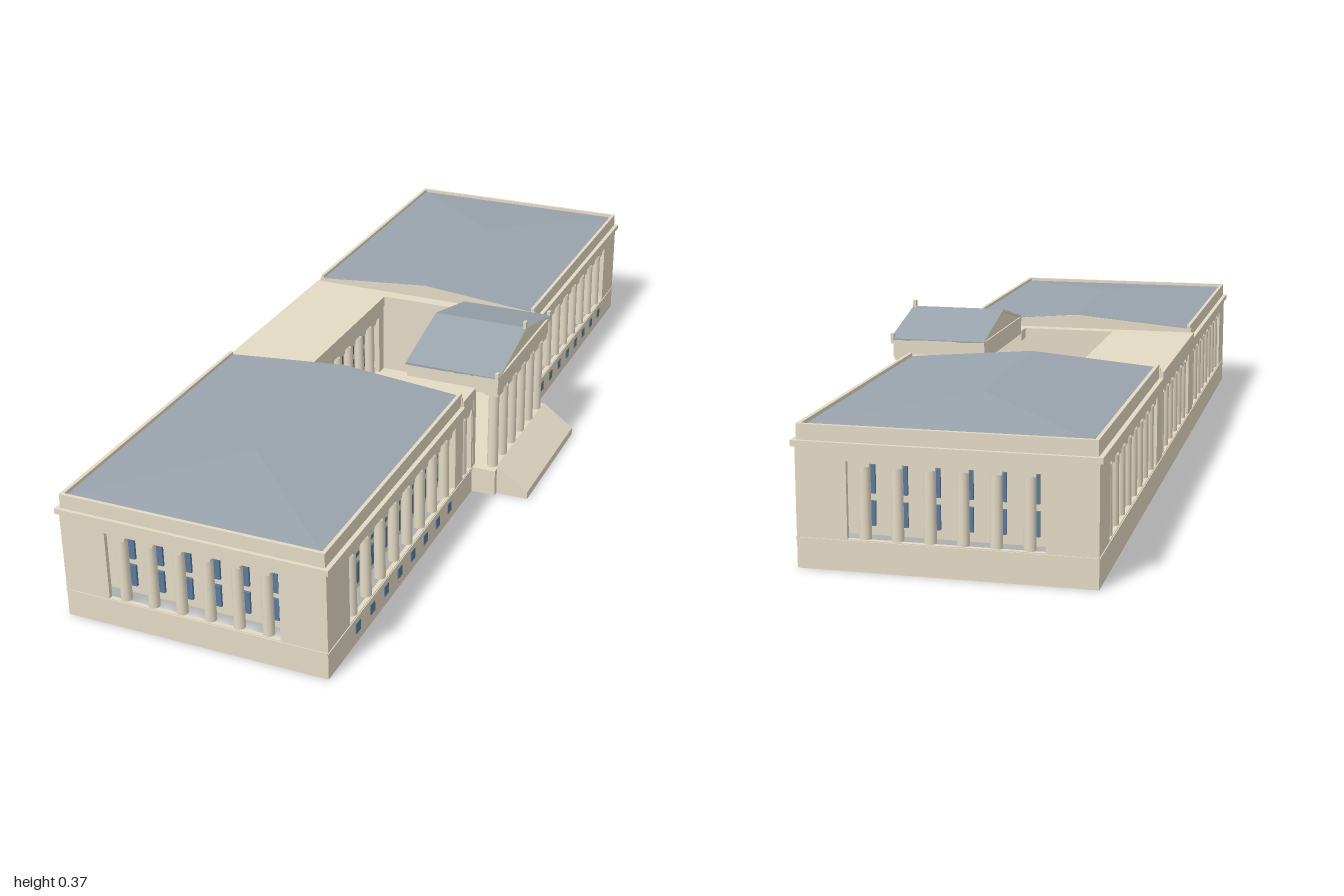
import * as THREE from 'three';

const paint = (name, color, side = THREE.FrontSide) => {
  const m = new THREE.MeshStandardMaterial({ color, side });
  m.name = name;
  return m;
};

export function createModel() {
  const stone = paint('stone', 0xe4dac5);
  const slate = paint('slate', 0x9aa4ad, THREE.DoubleSide);
  const glass = paint('glass', 0x5b7b9c);
  const root = new THREE.Group();
  root.name = 'building';

  const add = (parent, name, geo, mat = stone, x = 0, y = 0, z = 0) => {
    const m = new THREE.Mesh(geo, mat);
    m.name = name;
    m.position.set(x, y, z);
    parent.add(m);
    return m;
  };
  // box given by its limits on each axis
  const box = (parent, name, x0, x1, y0, y1, z0, z1, mat = stone) =>
    add(parent, name, new THREE.BoxGeometry(x1 - x0, y1 - y0, z1 - z0), mat,
      (x0 + x1) / 2, (y0 + y1) / 2, (z0 + z1) / 2);
  const extrude = (shape, depth) =>
    new THREE.ExtrudeGeometry(shape, { depth, bevelEnabled: false });
  const polygon = (pts) => new THREE.Shape(pts.map(([x, y]) => new THREE.Vector2(x, y)));
  const group = (parent, name, x, z, turn) => {
    const g = new THREE.Group();
    g.name = name;
    g.position.set(x, 0, z);
    g.rotation.y = turn;
    parent.add(g);
    return g;
  };

  // slightly tapering round column
  const columnGeo = (y0, y1, r) =>
    new THREE.CylinderGeometry(r * 0.94, r, y1 - y0, 16).translate(0, (y0 + y1) / 2, 0);
  const loggiaColumn = columnGeo(0.065, 0.213, 0.0125);

  // wall facing local +z with a notched opening, columns and windows behind
  const SILL = 0.065, HEAD = 0.222, TOP = 0.246, DEEP = 0.04;
  function facade(parent, name, width, bays, pitch, x, z, turn, shift = 0, windows = true) {
    const g = group(parent, name, x, z, turn);
    const w = width / 2, o = (bays * pitch) / 2, n = 0.0145, c = 0.004;
    const wall = polygon([[-w, 0], [w, 0], [w, TOP], [-w, TOP]]);
    const hole = [[shift - o, SILL], [shift + o, SILL], [shift + o, HEAD]];
    for (let i = bays - 1; i >= 0; i--) {
      const u = shift + (i - (bays - 1) / 2) * pitch;
      hole.push([u + n + c, HEAD], [u + n, HEAD - c], [u + n, 0.212],
        [u - n, 0.212], [u - n, HEAD - c], [u - n - c, HEAD]);
      add(g, 'column', loggiaColumn, stone, u, 0, -0.014);
      if (windows) {
        for (const [name, y0, y1] of [['lowerWindow', 0.085, 0.135], ['upperWindow', 0.15, 0.208]])
          box(g, name, u - 0.0142, u + 0.0142, y0, y1, -DEEP, 0.006 - DEEP, glass);
      }
    }
    hole.push([shift - o, HEAD]);
    wall.holes.push(polygon(hole));
    add(g, 'wall', extrude(wall, 0.01), stone, 0, 0, -0.01);
    box(g, 'stringCourse', -w, w, 0.059, 0.063, -0.004, 0.002);
    return g;
  }

  // hipped wing, built towards +z and turned round for the other end
  function wing(name, turn) {
    const g = group(root, name, -0.065, 0, turn);
    facade(g, 'endFacade', 0.6, 6, 0.0655, 0, 0.994, 0);
    facade(g, 'sideFacade', 0.734, 8, 0.0735, 0.3, 0.627, Math.PI / 2, 0.032);
    facade(g, 'sideFacade', 0.734, 8, 0.0735, -0.3, 0.627, -Math.PI / 2, -0.032);
    // inner rooms and ceiling
    for (const s of [-1, 1])
      box(g, 'innerWall', s * 0.257 - 0.003, s * 0.257 + 0.003, SILL, 0.25, 0.262, 0.954);
    box(g, 'innerWall', -0.26, 0.26, SILL, 0.25, 0.948, 0.954);
    box(g, 'ceiling', -0.298, 0.298, 0.246, 0.256, 0.262, 0.992);
    // cornice and parapet
    box(g, 'cornice', -0.307, 0.307, 0.246, 0.258, 0.26, 1.0);
    for (const s of [-1, 1])
      box(g, 'parapet', s * 0.293 - 0.004, s * 0.293 + 0.004, 0.258, 0.29, 0.257, 0.992);
    box(g, 'parapet', -0.297, 0.297, 0.258, 0.29, 0.984, 0.992);
    // gable wall towards the centre
    add(g, 'gableWall', extrude(polygon([[-0.3, 0], [0.3, 0], [0.3, 0.281], [0, 0.306], [-0.3, 0.281]]), 0.006),
      stone, 0, 0, 0.257);
    // hipped roof
    const A = [-0.29, 0.282, 0.255], B = [0.29, 0.282, 0.255], C = [0.29, 0.282, 0.985];
    const D = [-0.29, 0.282, 0.985], E = [0, 0.307, 0.255], F = [0, 0.307, 0.7];
    const roof = new THREE.BufferGeometry();
    roof.setAttribute('position', new THREE.Float32BufferAttribute(
      [B, E, F, B, F, C, A, F, E, A, D, F, D, C, F].flat(), 3));
    roof.computeVertexNormals();
    add(g, 'wingRoof', roof, slate);
  }
  wing('leftWing', 0);
  wing('rightWing', Math.PI);

  // basement windows on the entrance side
  for (const s of [-1, 1]) for (let i = 0; i < 8; i++) {
    const z = s * (0.852 - i * 0.0735);
    box(root, 'basementWindow', 0.23, 0.237, 0.024, 0.048, z - 0.011, z + 0.011, glass);
  }

  // central block round an open court
  const centre = group(root, 'centralBlock', 0, 0, 0);
  facade(centre, 'backFacade', 0.52, 6, 0.0735, -0.365, 0, -Math.PI / 2);
  facade(centre, 'courtFacade', 0.45, 6, 0.0655, -0.17, 0, Math.PI / 2);
  box(centre, 'innerWall', -0.325, -0.319, SILL, 0.25, -0.255, 0.255);
  box(centre, 'innerWall', -0.216, -0.21, SILL, 0.25, -0.255, 0.255);
  box(centre, 'backRoof', -0.372, -0.166, 0.246, 0.272, -0.26, 0.26);
  box(centre, 'courtFloor', -0.18, 0.235, 0.057, SILL, -0.225, 0.225);
  for (const s of [-1, 1]) {
    const span = (a, b) => (s > 0 ? [a, b] : [-b, -a]);
    box(centre, 'courtWall', -0.17, 0.228, 0, 0.25, ...span(0.225, 0.231));
    box(centre, 'sideRoof', -0.166, 0.065, 0.246, 0.272, ...span(0.225, 0.26));
    box(centre, 'frontRoof', 0.065, 0.239, 0.246, 0.272, ...span(0.185, 0.26));
    box(centre, 'pier', 0.205, 0.236, 0, 0.265, ...span(0.172, 0.19));
    facade(centre, 'frontFacade', 0.07, 1, 0.056, 0.235, s * 0.225, Math.PI / 2, 0, false);
  }

  // entrance portico on a hollow platform
  const portico = group(root, 'portico', 0, 0, 0);
  box(portico, 'platform', 0.233, 0.293, 0.057, SILL, -0.19, 0.19);
  for (const x of [0.23, 0.287]) box(portico, 'platformWall', x, x + 0.006, 0, 0.057, -0.19, 0.19);
  for (const z of [-0.19, 0.184]) box(portico, 'platformSide', 0.23, 0.293, 0, 0.057, z, z + 0.006);
  const tall = columnGeo(SILL, 0.256, 0.013);
  for (let i = 0; i < 6; i++) {
    const z = (i - 2.5) * 0.064;
    add(portico, 'porticoColumn', tall, stone, 0.276, 0, z);
    box(portico, 'capital', 0.258, 0.293, 0.255, 0.265, z - 0.017, z + 0.017);
  }
  box(portico, 'entablature', 0.067, 0.293, 0.264, 0.298, -0.185, 0.185);
  box(portico, 'cornice', 0.067, 0.297, 0.298, 0.308, -0.193, 0.193);
  const pediment = add(portico, 'pediment',
    extrude(polygon([[-0.185, 0.307], [0.185, 0.307], [0, 0.353]]), 0.222), stone, 0.07);
  pediment.rotation.y = Math.PI / 2;
  const gable = add(portico, 'porticoRoof', extrude(polygon([[-0.193, 0.305], [0, 0.352],
    [0.193, 0.305], [0.193, 0.31], [0, 0.358], [-0.193, 0.31]]), 0.231), [stone, slate], 0.067);
  gable.rotation.y = Math.PI / 2;
  // roof ornaments at the peak and corners
  box(portico, 'peakOrnament', 0.29, 0.298, 0.354, 0.373, -0.006, 0.006);
  for (const z of [-0.19, 0.19])
    box(portico, 'cornerOrnament', 0.289, 0.297, 0.305, 0.322, z - 0.005, z + 0.005);

  // entrance ramp with sloping sides and a low front edge
  const side = extrude(polygon([[0.293, 0], [0.37, 0], [0.37, 0.018], [0.293, 0.074]]), 0.006);
  for (const z of [-0.176, 0.17]) add(portico, 'rampSide', side, stone, 0, 0, z);
  add(portico, 'ramp', extrude(polygon([[0.293, 0.067], [0.364, 0.014], [0.364, 0],
    [0.37, 0], [0.37, 0.018], [0.293, 0.074]]), 0.34), stone, 0, 0, -0.17);

  return root;
}
